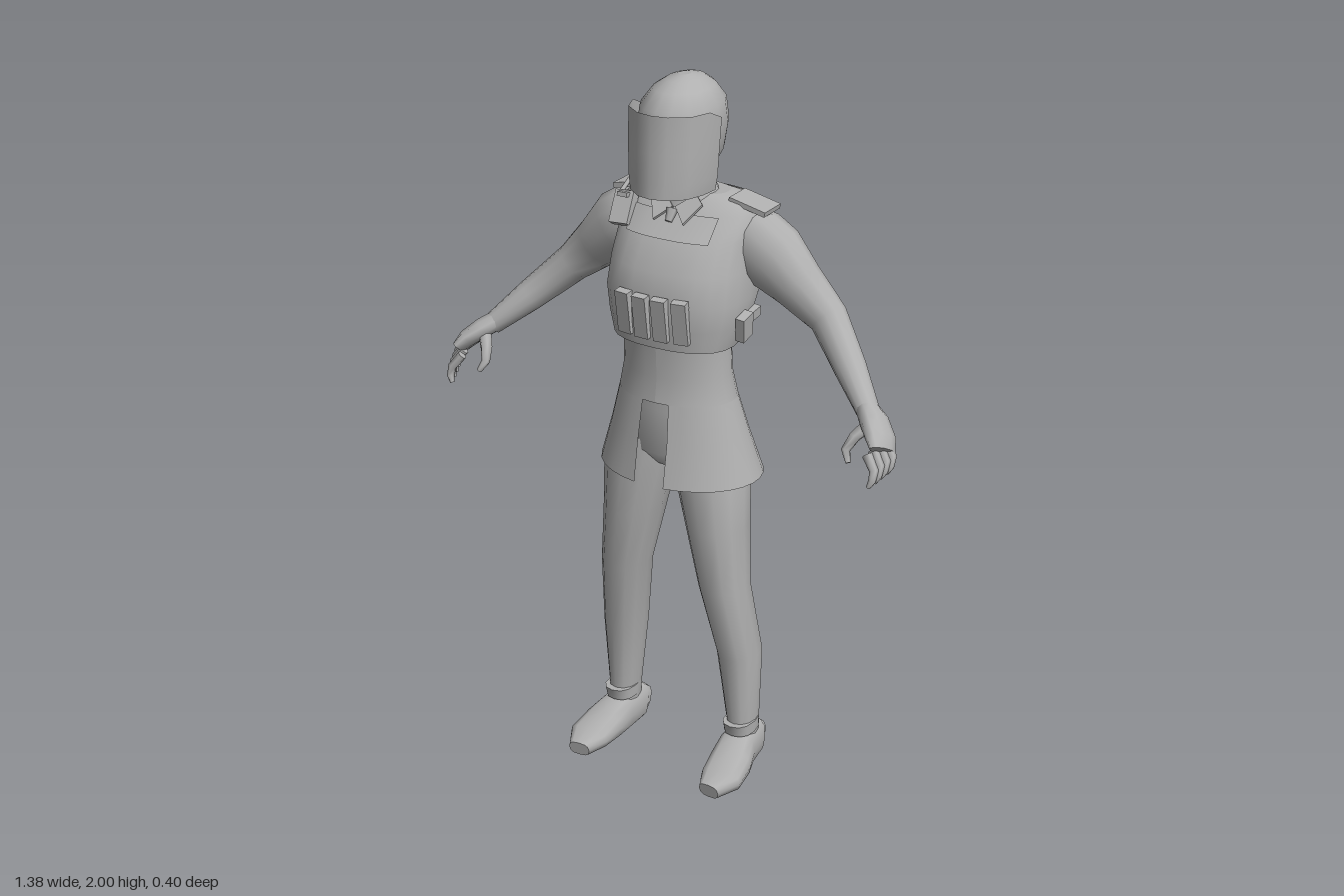
import * as THREE from 'three';

const grey = new THREE.MeshStandardMaterial({ color: 0xb0b0b0, side: THREE.DoubleSide });
grey.name = 'grey';
const V = (x, y, z) => new THREE.Vector3(x, y, z);

// Point on a rounded-square curve, angle 0 at the front
const sp = (t, n) => Math.sign(t) * Math.abs(t) ** (2 / n);

// Horizontal cross-section; a0..a1 gives an open arc
function ring(x, y, z, rx, rz, n = 2, seg = 16, a0 = 0, a1 = Math.PI * 2, closed = true) {
  const pts = [];
  for (let i = 0; i < (closed ? seg : seg + 1); i++) {
    const a = a0 + ((a1 - a0) * i) / seg;
    pts.push(V(x + rx * sp(Math.sin(a), n), y, z + rz * sp(Math.cos(a), n)));
  }
  return pts;
}

// Skin a list of cross-sections, optionally closed around and capped
function loft(rings, closed = true, caps = true) {
  const pos = [], idx = [], n = rings[0].length, m = closed ? n : n - 1;
  rings.forEach(r => r.forEach(p => pos.push(p.x, p.y, p.z)));
  for (let j = 0; j < rings.length - 1; j++) for (let i = 0; i < m; i++) {
    const a = j * n + i, b = j * n + (i + 1) % n, c = b + n, d = a + n;
    idx.push(a, b, c, a, c, d);
  }
  if (closed && caps) [rings[0], rings[rings.length - 1]].forEach((r, k) => {
    const s = pos.length / 3;
    const c = r.reduce((t, p) => t.add(p), V(0, 0, 0)).divideScalar(n);
    [c, ...r].forEach(p => pos.push(p.x, p.y, p.z));
    for (let i = 0; i < n; i++) {
      const a = s + 1 + i, b = s + 1 + (i + 1) % n;
      if (k) idx.push(s, a, b); else idx.push(s, b, a);
    }
  });
  const g = new THREE.BufferGeometry();
  g.setAttribute('position', new THREE.Float32BufferAttribute(pos, 3));
  g.setIndex(idx);
  g.computeVertexNormals();
  return g;
}

// Limb along a path of [x, y, z, radius across, radius along hint]
function limb(nodes, seg = 10, n = 2, hint = V(0, 0, 1)) {
  const c = nodes.map(p => V(p[0], p[1], p[2]));
  return loft(nodes.map((p, i) => {
    const t = c[Math.min(i + 1, c.length - 1)].clone().sub(c[Math.max(i - 1, 0)]).normalize();
    const v = hint.clone().addScaledVector(t, -hint.dot(t)).normalize();
    const u = t.clone().cross(v);
    return Array.from({ length: seg }, (_, k) => {
      const a = (k / seg) * Math.PI * 2;
      return c[i].clone().addScaledVector(u, p[3] * sp(Math.sin(a), n)).addScaledVector(v, p[4] * sp(Math.cos(a), n));
    });
  }));
}

export function createModel() {
  const model = new THREE.Group();
  const add = (name, geo, pos = [0, 0, 0], rot = [0, 0, 0]) => {
    const m = new THREE.Mesh(geo, grey);
    m.name = name;
    m.position.set(...pos);
    m.rotation.set(...rot);
    model.add(m);
    return m;
  };
  const box = (name, size, pos, rot) => add(name, new THREE.BoxGeometry(...size), pos, rot);

  // Helmeted head: y, z, rx, rz
  add('helmet', loft([
    [1.71, 0.04, 0.045, 0.06], [1.76, -0.015, 0.08, 0.11], [1.8, -0.018, 0.1, 0.135],
    [1.87, -0.02, 0.11, 0.146], [1.93, -0.02, 0.103, 0.137], [1.97, -0.025, 0.075, 0.1], [1.99, -0.03, 0.045, 0.065], [2, -0.03, 0.015, 0.02],
  ].map(([y, z, rx, rz]) => ring(0, y, z, rx, rz))));

  // Face shield, an open creased shell
  const half = [[0.12, -0.012], [0.115, 0.04], [0.095, 0.095], [0.045, 0.132], [0, 0.14]];
  const outline = [...half.map(([x, z]) => [-x, z]), ...half.slice(0, 4).reverse()];
  const shieldRow = (y, k, dz, drop) => outline.map(([x, z]) => V(x * k, y - (z < 0 ? drop : 0), z + dz));
  add('faceShield', loft([
    shieldRow(1.71, 0.9, 0.01, 0), shieldRow(1.75, 0.95, 0.009, 0), shieldRow(1.83, 0.98, 0.006, 0), shieldRow(1.93, 1, 0, 0.025),
  ], false));

  // Neck and shirt collar
  add('neck', loft([ring(0, 1.62, -0.07, 0.065, 0.07), ring(0, 1.7, -0.055, 0.055, 0.06), ring(0, 1.79, -0.045, 0.055, 0.065)]));
  add('collar', loft([ring(0, 1.65, -0.065, 0.085, 0.085), ring(0, 1.7, -0.06, 0.065, 0.065)], true, false));

  // Padded vest: y, z, rx, rz
  const vest = [
    [1.29, 0.012, 0.175, 0.118], [1.35, -0.005, 0.193, 0.143], [1.42, -0.02, 0.205, 0.163], [1.5, -0.035, 0.2, 0.16],
    [1.58, -0.055, 0.195, 0.133], [1.64, -0.08, 0.2, 0.102], [1.665, -0.085, 0.175, 0.08], [1.68, -0.085, 0.1, 0.055],
  ];
  add('vest', loft(vest.map(([y, z, rx, rz]) => ring(0, y, z, rx, rz, 2.4, 24))));

  // Thin panels that follow the vest surface
  const panel = (name, rows, a0, a1) => add(name, loft(rows.map(([y, z, rx, rz]) =>
    ring(0, y, z, rx + 0.006, rz + 0.007, 2.4, 8, a0, a1, false)), false));
  panel('chestPanel', vest.slice(4, 6), -0.6, 0.6);
  panel('backPanel', [[1.55, -0.048, 0.197, 0.145], ...vest.slice(4, 7)], Math.PI - 0.55, Math.PI + 0.55);

  // Tunic with a front slit
  const hem = (y, z, rx, rz, slit) => {
    const d = Math.asin(slit / rx);
    return ring(0, y, z, rx, rz, 2, 28, d, Math.PI * 2 - d, false);
  };
  add('tunic', loft([
    hem(0.9, -0.015, 0.237, 0.18, 0.045), hem(1.02, -0.006, 0.2, 0.15, 0.045), hem(1.13, 0.002, 0.171, 0.125, 0.04), hem(1.13, 0.002, 0.171, 0.125, 0),
    hem(1.2, 0.005, 0.157, 0.112, 0), hem(1.3, 0.01, 0.155, 0.112, 0),
  ], false));
  add('hips', loft([
    ring(0, 0.925, 0.005, 0.08, 0.07), ring(0, 0.97, 0.005, 0.165, 0.105), ring(0, 1.1, 0.005, 0.155, 0.108), ring(0, 1.25, 0.005, 0.14, 0.1),
  ]));

  for (const s of [1, -1]) {
    const side = s > 0 ? 'left' : 'right';
    const mir = nodes => nodes.map(([x, ...r]) => [x * s, ...r]);

    // Leg, ankle cuff and shoe
    add(side + 'Leg', loft([
      [0.197, 0.08, -0.025, 0.04, 0.053], [0.196, 0.14, -0.025, 0.041, 0.055], [0.187, 0.36, -0.018, 0.058, 0.073],
      [0.158, 0.58, 0.02, 0.067, 0.08], [0.132, 0.76, 0.015, 0.083, 0.098], [0.112, 0.91, 0.01, 0.1, 0.11], [0.09, 1, 0.005, 0.09, 0.105],
    ].map(([x, y, z, rx, rz]) => ring(x * s, y, z, rx, rz, 2.2, 12))));
    add(side + 'Cuff', loft([ring(0.197 * s, 0.11, -0.015, 0.043, 0.055, 2.4, 12), ring(0.197 * s, 0.145, -0.012, 0.044, 0.062, 2.4, 12)]));
    add(side + 'Shoe', limb(mir([
      [0.192, 0.045, -0.1, 0.034, 0.045], [0.194, 0.058, -0.075, 0.046, 0.058], [0.2, 0.056, 0.01, 0.053, 0.056],
      [0.211, 0.043, 0.07, 0.061, 0.043], [0.22, 0.03, 0.14, 0.061, 0.03], [0.215, 0.021, 0.2, 0.032, 0.021],
    ]), 12, 2.8, V(0, 1, 0)));

    // Arm
    add(side + 'Arm', limb(mir([
      [0.15, 1.57, -0.085, 0.085, 0.075], [0.19, 1.555, -0.085, 0.095, 0.082], [0.235, 1.525, -0.085, 0.097, 0.082],
      [0.31, 1.46, -0.09, 0.073, 0.066], [0.4, 1.38, -0.095, 0.054, 0.05], [0.5, 1.285, -0.03, 0.044, 0.043], [0.59, 1.2, 0.033, 0.03, 0.032],
    ]), 12));

    // Hand with curled fingers and thumb
    add(side + 'Palm', limb(mir([
      [0.575, 1.215, 0.025, 0.028, 0.03], [0.61, 1.19, 0.045, 0.03, 0.045], [0.645, 1.16, 0.075, 0.026, 0.052], [0.662, 1.135, 0.095, 0.018, 0.048],
    ]), 10));
    for (let i = 0; i < 4; i++) {
      const z = 0.062 + i * 0.02, x = 0.668 - i * 0.007, y = 1.15 - i * 0.007;
      add(side + 'Finger' + (i + 1), limb(mir([
        [x - 0.015, y, z, 0.014, 0.014], [x + 0.012, y - 0.035, z + 0.012, 0.012, 0.013],
        [x + 0.012, y - 0.06, z + 0.022, 0.01, 0.011], [x + 0.004, y - 0.078, z + 0.026, 0.006, 0.007],
      ]), 6));
    }
    add(side + 'Thumb', limb(mir([
      [0.605, 1.185, 0.05, 0.02, 0.02], [0.575, 1.15, 0.085, 0.016, 0.018], [0.563, 1.12, 0.108, 0.012, 0.013], [0.578, 1.092, 0.12, 0.007, 0.008],
    ]), 6));

    // Shoulder tab and collar flap
    box(side + 'ShoulderTab', [0.11, 0.014, 0.085], [0.178 * s, 1.662, -0.085], [0, 0, -0.22 * s]);
    const flap = new THREE.Shape([[0.004, 0.04], [0.045, -0.005], [0.078, 0.06], [0.05, 0.085]].map(([x, y]) => new THREE.Vector2(x * s, y)));
    add(side + 'CollarFlap', new THREE.ExtrudeGeometry(flap, { depth: 0.008, bevelEnabled: false }), [0, 1.62, 0.05], [-0.75, 0, 0]);
  }

  // Tie knot under the collar
  add('tieKnot', new THREE.CylinderGeometry(0.016, 0.009, 0.035, 6), [0, 1.635, 0.045], [-0.6, 0, 0]);

  // Four magazine pouches
  for (let i = 0; i < 4; i++) {
    const x = -0.0855 + i * 0.057;
    box('pouch' + (i + 1), [0.042, 0.122, 0.024], [x, 1.38, 0.148 - Math.abs(x) * 0.16], [0.15, x * 1.5, 0]);
  }

  // Shoulder radio
  box('radio', [0.056, 0.09, 0.03], [-0.15, 1.625, 0.035], [-0.55, 0, 0.06]);
  box('radioClip', [0.03, 0.012, 0.05], [-0.15, 1.66, 0.02], [-0.2, 0, 0]);
  add('radioAntenna', new THREE.CylinderGeometry(0.006, 0.006, 0.07, 6), [-0.17, 1.675, -0.012], [-1.1, 0, 0]);

  // Side holder on the vest
  box('sideHolder', [0.026, 0.07, 0.05], [0.208, 1.355, 0.015], [0.2, 0, -0.12]);
  box('sideStrap', [0.02, 0.028, 0.1], [0.203, 1.37, -0.015], [0.1, 0, -0.1]);

  return model;
}
